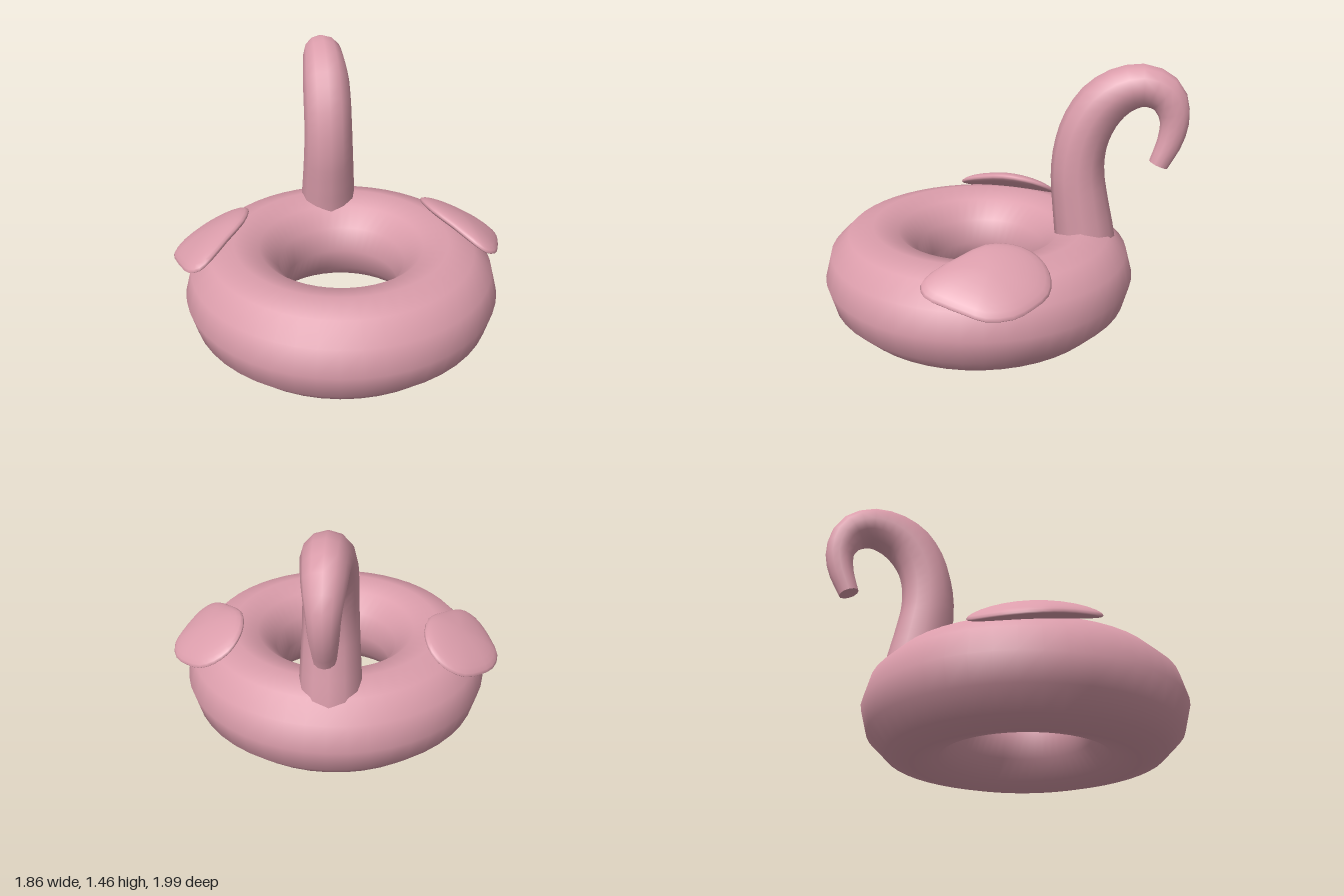
import * as THREE from 'three';
import { mergeVertices } from 'three/addons/utils/BufferGeometryUtils.js';

const material = new THREE.MeshStandardMaterial({ color: 0xdb9dab });

function addMesh(parent, geometry, name) {
  const mesh = new THREE.Mesh(geometry, material);
  mesh.name = name;
  parent.add(mesh);
  return mesh;
}

// Neck: a bent tube whose radius tapers towards the tip; stations are [z, y, radius]
const NECK = [
  [-0.48, 0.36, 0.172], [-0.46, 0.52, 0.165], [-0.435, 0.68, 0.155], [-0.415, 0.85, 0.146],
  [-0.425, 1.0, 0.141], [-0.465, 1.13, 0.14], [-0.54, 1.245, 0.137], [-0.65, 1.32, 0.125],
  [-0.765, 1.338, 0.113], [-0.87, 1.285, 0.1], [-0.918, 1.17, 0.078], [-0.905, 1.05, 0.07],
  [-0.85, 0.91, 0.055],
];

function buildNeck() {
  const neck = new THREE.Group();
  neck.name = 'neck';
  const rings = 28, sides = 12;
  const curve = new THREE.CatmullRomCurve3(NECK.map(([z, y]) => new THREE.Vector3(-0.008, y, z)));
  const radiusAt = (u) => {
    const s = curve.getUtoTmapping(u) * (NECK.length - 1);
    const i = Math.min(Math.floor(s), NECK.length - 2);
    return THREE.MathUtils.lerp(NECK[i][2], NECK[i + 1][2], s - i);
  };
  const geometry = new THREE.TubeGeometry(curve, rings, 1, sides);
  const pos = geometry.attributes.position;
  const p = new THREE.Vector3();
  for (let i = 0; i < pos.count; i++) {
    const u = Math.floor(i / (sides + 1)) / rings;
    const centre = curve.getPointAt(u);
    p.fromBufferAttribute(pos, i).sub(centre).multiplyScalar(radiusAt(u)).add(centre);
    pos.setXYZ(i, p.x, p.y, p.z);
  }
  addMesh(neck, geometry, 'neckTube');

  // Flat end caps
  for (const u of [0, 1]) {
    const cap = addMesh(neck, new THREE.CircleGeometry(radiusAt(u), sides), u ? 'neckTip' : 'neckBase');
    const outward = curve.getTangentAt(u).multiplyScalar(u ? 1 : -1);
    cap.position.copy(curve.getPointAt(u));
    cap.quaternion.setFromUnitVectors(new THREE.Vector3(0, 0, 1), outward);
  }
  return neck;
}

// Wing outline seen from above as [x, z]: inner edge, front point, outer edge, rear
const WING = [
  [0.5, -0.1], [0.53, 0.04], [0.62, 0.17], [0.71, 0.29], [0.77, 0.33], [0.83, 0.3], [0.87, 0.22],
  [0.91, 0.1], [0.93, 0], [0.89, -0.13], [0.81, -0.22], [0.72, -0.285], [0.635, -0.295],
  [0.56, -0.265], [0.515, -0.2],
];

// Wing: a sphere flattened to the outline and draped over the ring
function buildWing(side) {
  const outline = new THREE.CatmullRomCurve3(WING.map(([x, z]) => new THREE.Vector3(x, 0, z)), true);
  let geometry = new THREE.SphereGeometry(1, 30, 14);
  const pos = geometry.attributes.position, uv = geometry.attributes.uv;
  for (let i = 0; i < pos.count; i++) {
    const u = uv.getX(i), up = pos.getY(i);
    const t = Math.sqrt(Math.max(0, 1 - up * up));
    const edge = outline.getPoint((side > 0 ? u : 1 - u + 1) % 1);
    const x = THREE.MathUtils.lerp(0.715, edge.x, t);
    const z = edge.z * t;
    const drape = 0.535 - 0.49 * (x - 0.715) + 0.14 * z - 0.35 * z * z;
    pos.setXYZ(i, side * x, drape + up * (up > 0 ? 0.058 : 0.04), z);
  }
  geometry.deleteAttribute('uv');
  geometry.deleteAttribute('normal');
  geometry = mergeVertices(geometry, 1e-5);
  geometry.computeVertexNormals();
  return geometry;
}

export function createModel() {
  const model = new THREE.Group();
  model.name = 'swimRing';

  // Inflated ring
  const ring = new THREE.TorusGeometry(0.592, 0.276, 12, 48).rotateX(-Math.PI / 2);
  addMesh(model, ring, 'ring').position.set(0, 0.276, 0.13);

  model.add(buildNeck());

  addMesh(model, buildWing(1), 'leftWing');
  addMesh(model, buildWing(-1), 'rightWing');
  return model;
}
